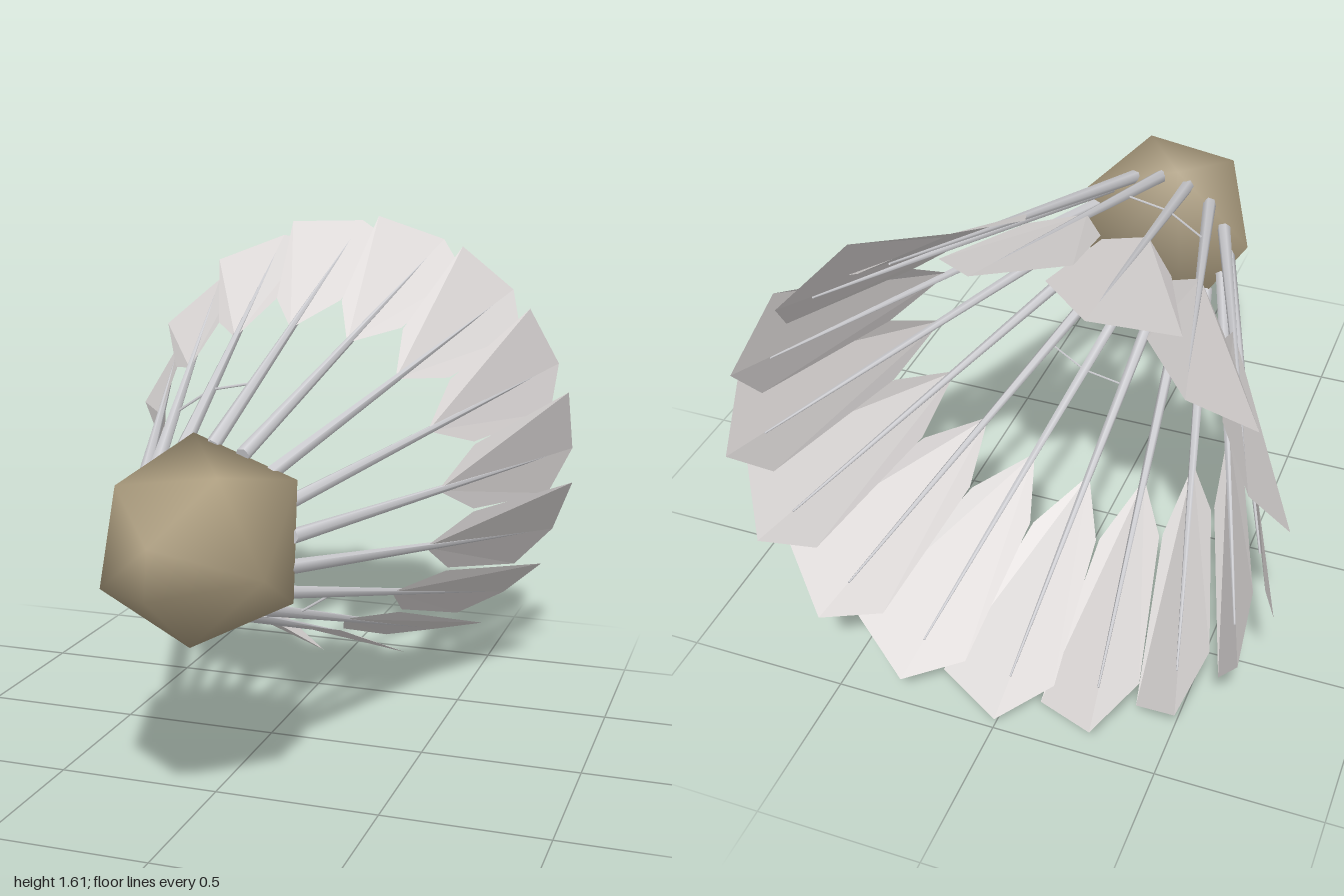
import * as THREE from 'three';
import { mergeVertices } from 'three/addons/utils/BufferGeometryUtils.js';
import { ConvexGeometry } from 'three/addons/geometries/ConvexGeometry.js';

const COUNT = 16;
const CENTER_Y = 0.78;

const featherMat = new THREE.MeshStandardMaterial({ name: 'feather white', color: 0xdfdbda, side: THREE.DoubleSide });
const quillMat = new THREE.MeshStandardMaterial({ name: 'quill grey', color: 0xd2d2d6 });
const corkMat = new THREE.MeshStandardMaterial({ name: 'cork tan', color: 0xac9d7f });

// Faceted ball with smooth shading and a flat rear
function makeCork() {
  const v = (x, y, z) => new THREE.Vector3(x, y, z);
  const points = [
    v(-0.06, 1.055, 0.495), v(-0.31, 0.82, 0.495), v(-0.08, 0.465, 0.495), v(0.24, 0.58, 0.495), v(0.25, 0.94, 0.495),
    v(0, 0.84, 0.98), v(0, 0.7, 0.995),
  ];
  // middle ring, turned half a step against the rear ring
  for (let i = 0; i < 5; i++) {
    const a = THREE.MathUtils.degToRad(62 + i * 72);
    points.push(v(0.01 + 0.255 * Math.cos(a), 0.775 + 0.255 * Math.sin(a), 0.8));
  }
  const geo = new ConvexGeometry(points);
  geo.deleteAttribute('normal');
  const smooth = mergeVertices(geo, 1e-4);
  smooth.computeVertexNormals();
  const cork = new THREE.Mesh(smooth, corkMat);
  cork.name = 'cork';
  return cork;
}

// Feather outline at the top of the ring; the left edge laps over its neighbour
function makeFeatherGeometry() {
  const outline = [
    [0, 0.49, -0.18], [0.1, 0.56, -0.39], [0.14, 0.72, -0.86], [0, 0.78, -0.99],
    [-0.22, 0.78, -0.86], [-0.115, 0.56, -0.38],
  ];
  const pos = [];
  for (let i = 1; i < outline.length - 1; i++) {
    pos.push(...outline[0], ...outline[i], ...outline[i + 1]);
  }
  const geo = new THREE.BufferGeometry();
  geo.setAttribute('position', new THREE.Float32BufferAttribute(pos, 3));
  geo.computeVertexNormals();
  return geo;
}

// Tapered shaft from the cork to near the feather tip
function makeQuillGeometry() {
  const start = new THREE.Vector3(0, 0.24, 0.51);
  const end = new THREE.Vector3(0, 0.73, -0.86);
  const dir = end.clone().sub(start);
  const geo = new THREE.CylinderGeometry(0.003, 0.022, dir.length(), 6);
  geo.applyQuaternion(new THREE.Quaternion().setFromUnitVectors(new THREE.Vector3(0, 1, 0), dir.normalize()));
  const mid = start.add(end).multiplyScalar(0.5);
  geo.translate(mid.x, mid.y, mid.z);
  return geo;
}

export function createModel() {
  const model = new THREE.Group();
  model.name = 'shuttlecock';
  model.add(makeCork());

  const skirt = new THREE.Group();
  skirt.name = 'skirt';
  skirt.position.y = CENTER_Y;
  model.add(skirt);

  // Ring of feathers and quills
  const featherGeo = makeFeatherGeometry();
  const quillGeo = makeQuillGeometry();
  for (let i = 0; i < COUNT; i++) {
    const plume = new THREE.Group();
    plume.name = 'plume' + (i + 1);
    const feather = new THREE.Mesh(featherGeo, featherMat);
    feather.name = 'feather';
    const quill = new THREE.Mesh(quillGeo, quillMat);
    quill.name = 'quill';
    plume.add(feather, quill);
    plume.rotation.z = (i / COUNT) * Math.PI * 2;
    skirt.add(plume);
  }

  // Two short binding threads between quills
  for (const startAngle of [90, 270]) {
    const thread = new THREE.Mesh(new THREE.TorusGeometry(0.367, 0.004, 4, 2, Math.PI / 4), quillMat);
    thread.name = 'thread';
    thread.position.z = 0.155;
    thread.rotation.z = THREE.MathUtils.degToRad(startAngle);
    skirt.add(thread);
  }
  return model;
}
